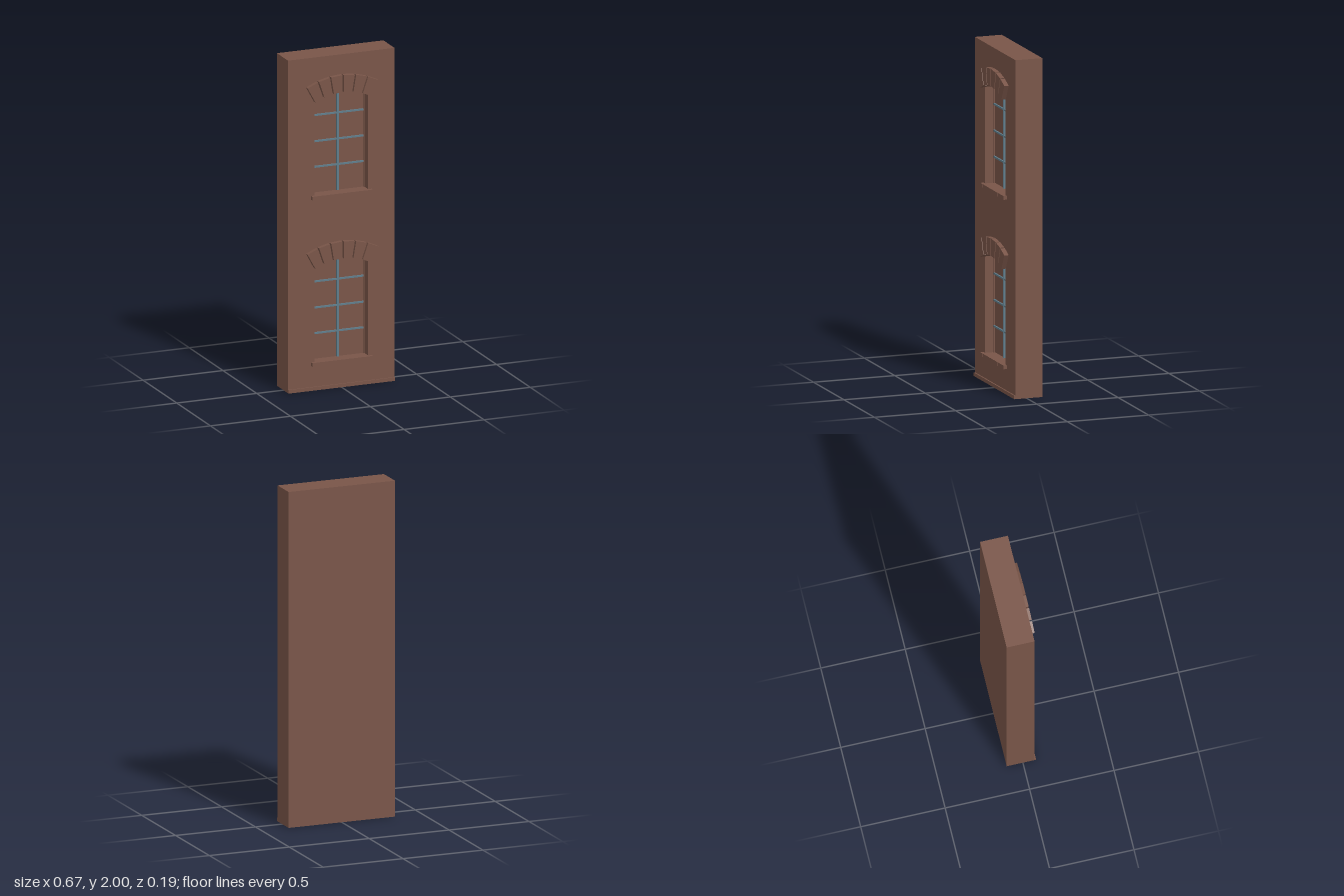
import * as THREE from 'three';

const brick = new THREE.MeshStandardMaterial({ color: 0x795548 });
const metal = new THREE.MeshStandardMaterial({ color: 0x607d8b });

const FRONT = 0.069, BACK = -0.096, PANE = 0.01; // main depths along z
const HALF_W = 0.333, OPEN_W = 0.167;            // half widths of wall and opening
const ARCH_Y = 0.409, R_IN = 0.371, R_OUT = 0.473, ARCH_ANGLE = 0.496;

function box(name, x0, x1, y0, y1, z0, z1, material = brick) {
  const mesh = new THREE.Mesh(new THREE.BoxGeometry(x1 - x0, y1 - y0, z1 - z0), material);
  mesh.position.set((x0 + x1) / 2, (y0 + y1) / 2, (z0 + z1) / 2);
  mesh.name = name;
  return mesh;
}

function extrude(name, shape, z0, z1) {
  const geometry = new THREE.ExtrudeGeometry(shape, { depth: z1 - z0, bevelEnabled: false, curveSegments: 12 });
  geometry.translate(0, 0, z0);
  const mesh = new THREE.Mesh(geometry, brick);
  mesh.name = name;
  return mesh;
}

// Segmental-arched window outline
function openingPath(base) {
  const a = Math.asin(OPEN_W / R_IN);
  const path = new THREE.Path();
  path.moveTo(-OPEN_W, base + 0.15);
  path.lineTo(OPEN_W, base + 0.15);
  path.absarc(0, base + ARCH_Y, R_IN, Math.PI / 2 - a, Math.PI / 2 + a, false);
  path.closePath();
  return path;
}

function createWindow(base) {
  const group = new THREE.Group();
  group.name = 'window';

  // Six wedge bricks with narrow joints
  const arch = new THREE.Group();
  arch.name = 'archBricks';
  const step = ARCH_ANGLE / 3, gap = 0.004;
  for (let i = 0; i < 6; i++) {
    const half = step / 2;
    const xi = R_IN * Math.sin(half) - gap, xo = R_OUT * Math.sin(half) - gap;
    const yi = R_IN * Math.cos(half), yo = R_OUT * Math.cos(half);
    const wedge = new THREE.Shape([
      new THREE.Vector2(-xi, yi), new THREE.Vector2(xi, yi),
      new THREE.Vector2(xo, yo), new THREE.Vector2(-xo, yo),
    ]);
    const mesh = extrude('archBrick', wedge, FRONT - 0.02, 0.096);
    mesh.position.y = base + ARCH_Y;
    mesh.rotation.z = ARCH_ANGLE - step * (i + 0.5);
    arch.add(mesh);
  }
  group.add(arch);

  // Row of sill bricks
  const sill = new THREE.Group();
  sill.name = 'sill';
  const w = 0.38 / 12;
  for (let i = 0; i < 12; i++) {
    const x = -0.19 + i * w;
    sill.add(box('sillBrick', x, x + w, base + 0.148, base + 0.17, PANE, 0.09 - (i % 2) * 0.001));
  }
  group.add(sill);

  // Slim side frames and glazing bars
  for (const s of [-1, 1]) {
    const x = s * (OPEN_W - 0.003);
    group.add(box('sideFrame', x - 0.003, x + 0.003, base + 0.17, base + 0.745, PANE, PANE + 0.01));
  }
  group.add(box('verticalBar', -0.007, 0.007, base + 0.17, base + 0.779, PANE, PANE + 0.01, metal));
  for (const y of [0.325, 0.479, 0.636]) {
    group.add(box('horizontalBar', -OPEN_W, OPEN_W, base + y - 0.005, base + y + 0.005, PANE, PANE + 0.009, metal));
  }
  return group;
}

export function createModel() {
  const model = new THREE.Group();
  model.name = 'wallSection';

  // Solid back of the wall, also closing the window recesses
  model.add(box('wallBack', -HALF_W, HALF_W, 0, 2, BACK, PANE));

  // Front layer pierced by the two openings
  const face = new THREE.Shape([
    new THREE.Vector2(-HALF_W, 0), new THREE.Vector2(HALF_W, 0),
    new THREE.Vector2(HALF_W, 2), new THREE.Vector2(-HALF_W, 2),
  ]);
  const bases = [0, 1];
  for (const base of bases) face.holes.push(openingPath(base));
  model.add(extrude('wallFront', face, PANE, FRONT));

  // Low plinth along the foot
  model.add(box('plinth', -HALF_W, HALF_W, 0, 0.021, FRONT, 0.077));

  for (const base of bases) model.add(createWindow(base));
  return model;
}
